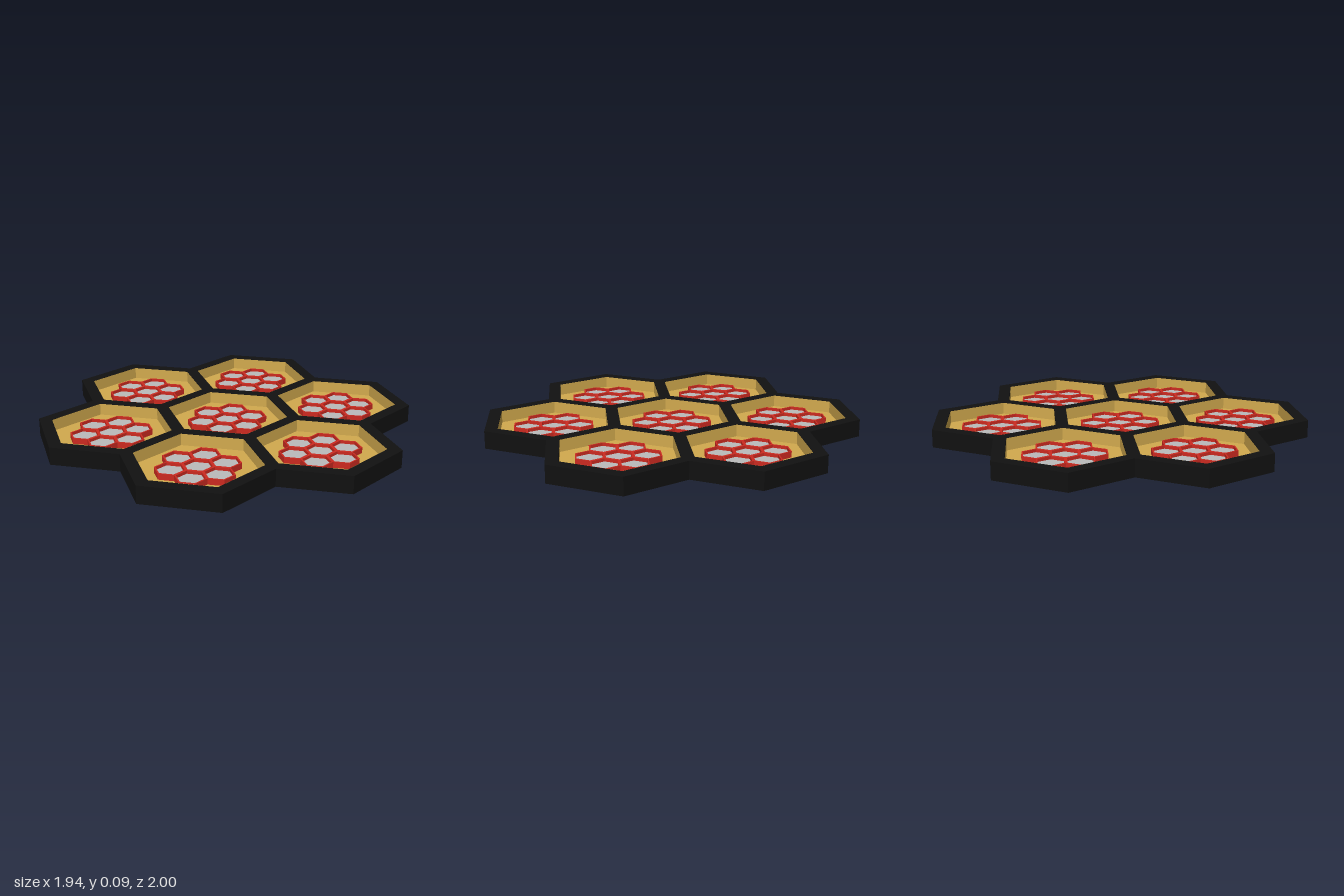
import * as THREE from 'three';

const HEIGHT = 0.095, FLOOR = 0.03;      // tray height, floor level
const PITCH = 0.645, OUTER = 0.41, INNER = 0.335; // tray spacing, hexagon radii
const CELL_PITCH = 0.142, CELL_R = 0.082, CELL_HOLE = 0.073;
const CELL_TOP = 0.062, PAD_TOP = 0.046;
const DEG = Math.PI / 180;

const material = (color, side = THREE.FrontSide) =>
  new THREE.MeshStandardMaterial({ color, side, flatShading: true });

const polar = (r, deg, cx = 0, cy = 0) =>
  new THREE.Vector2(cx + r * Math.cos(deg * DEG), cy + r * Math.sin(deg * DEG));

const hexPoints = (r, cx = 0, cy = 0) =>
  Array.from({ length: 6 }, (_, i) => polar(r, i * 60, cx, cy));

// One centre plus six neighbours
const cluster = (pitch) =>
  [new THREE.Vector2(), ...Array.from({ length: 6 }, (_, i) => polar(pitch, 30 + i * 60))];

// Extrude a plan shape upwards from y0 to y1
function slab(shape, y0, y1) {
  const geo = new THREE.ExtrudeGeometry(shape, { depth: y1 - y0, bevelEnabled: false });
  return geo.rotateX(-Math.PI / 2).translate(0, y0, 0);
}

// Joined outline of the seven trays: two corners per outer tray and the notch after it
function trayOutline() {
  const apothem = OUTER * Math.cos(30 * DEG);
  const notch = (PITCH / 2 + apothem) / Math.sin(60 * DEG);
  const points = [];
  for (let i = 0; i < 6; i++) {
    const a = 30 + i * 60, c = polar(PITCH, a);
    points.push(polar(OUTER, a - 30, c.x, c.y), polar(OUTER, a + 30, c.x, c.y), polar(notch, a + 30));
  }
  return new THREE.Shape(points);
}

export function createModel() {
  const model = new THREE.Group();
  const black = material(0x111111);
  const gold = material(0xd2aa4e), goldWall = material(0xd2aa4e, THREE.DoubleSide);
  const red = material(0xcc2a20), grey = material(0xbbbbbb);

  const add = (parent, name, geo, mat) => {
    const mesh = new THREE.Mesh(geo, mat);
    mesh.name = name;
    parent.add(mesh);
  };

  // Black base plate and rim with seven hexagonal openings
  add(model, 'basePlate', slab(trayOutline(), 0, FLOOR - 0.002), black);
  const rim = trayOutline();
  for (const c of cluster(PITCH)) rim.holes.push(new THREE.Path(hexPoints(INNER, c.x, c.y)));
  add(model, 'rim', slab(rim, FLOOR - 0.002, HEIGHT), black);

  // Shared geometry for the contents of each tray
  const floorGeo = slab(new THREE.Shape(hexPoints(INNER)), FLOOR - 0.001, FLOOR);
  const wallHeight = HEIGHT - 0.0005 - FLOOR;
  const wallGeo = new THREE.CylinderGeometry(INNER - 0.002, INNER - 0.002, wallHeight, 6, 1, true, Math.PI / 6)
    .translate(0, FLOOR + wallHeight / 2, 0);
  const frameShape = new THREE.Shape(hexPoints(CELL_R));
  frameShape.holes.push(new THREE.Path(hexPoints(CELL_HOLE)));
  const frameGeo = slab(frameShape, FLOOR, CELL_TOP);
  const padGeo = slab(new THREE.Shape(hexPoints(CELL_HOLE)), FLOOR, PAD_TOP);

  for (const c of cluster(PITCH)) {
    const tray = new THREE.Group();
    tray.name = 'tray';
    tray.position.set(c.x, 0, -c.y);
    add(tray, 'trayFloor', floorGeo, gold);
    add(tray, 'trayWall', wallGeo, goldWall);

    // Seven red honeycomb frames, each with a recessed grey pad
    for (const p of cluster(CELL_PITCH)) {
      const cell = new THREE.Group();
      cell.name = 'cell';
      cell.position.set(p.x, 0, -p.y);
      add(cell, 'cellFrame', frameGeo, red);
      add(cell, 'cellPad', padGeo, grey);
      tray.add(cell);
    }
    model.add(tray);
  }
  return model;
}
